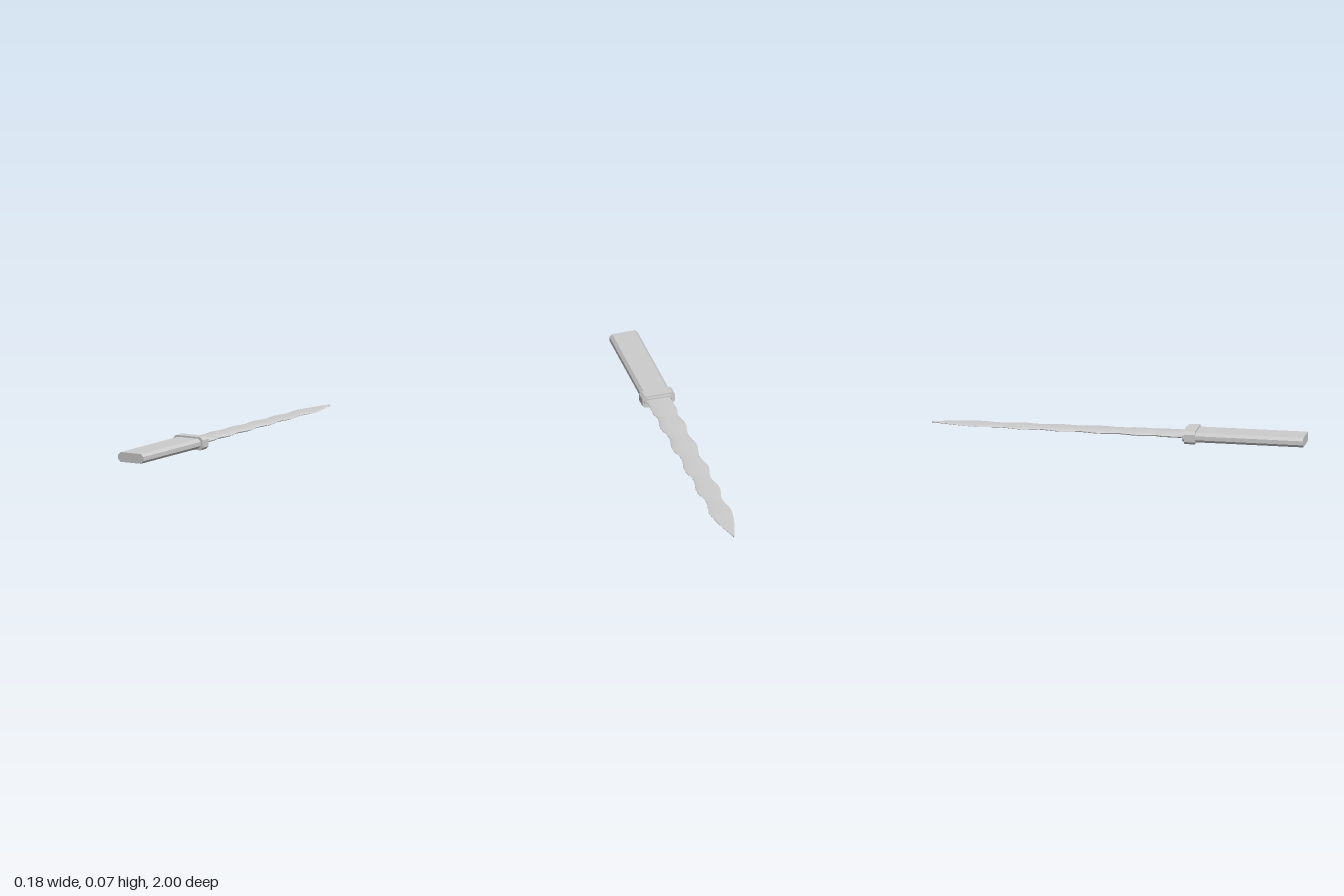
import * as THREE from 'three';

const MID = 0.035; // height of the long axis

// Rectangle with cut corners, half sizes w and h, cut c
function chamfered(PathType, w, h, c) {
  const p = new PathType();
  [[w - c, -h], [w, -h + c], [w, h - c], [w - c, h], [-w + c, h], [-w, h - c], [-w, -h + c], [-w + c, -h]]
    .forEach(([x, y], i) => (i ? p.lineTo(x, y) : p.moveTo(x, y)));
  p.closePath();
  return p;
}

function prism(name, shape, z0, z1, material) {
  const mesh = new THREE.Mesh(
    new THREE.ExtrudeGeometry(shape, { depth: z1 - z0, bevelEnabled: false }), material);
  mesh.name = name;
  mesh.position.set(0, MID, z0);
  return mesh;
}

// Wavy blade: one smooth skin per side, swept along z
function bladeGeometry() {
  const outline = [[0.37, 0.066], [0.3, 0.066], [0.24, 0.066], [0.2, 0.055]];
  // regular waves
  for (let i = 0; i < 4; i++) {
    const z = 0.11 - i * 0.212;
    outline.push([z, 0.07 - i * 0.002], [z - 0.106, 0.053 - i * 0.003]);
  }
  // leaf-shaped point
  outline.push([-0.74, 0.06], [-0.8, 0.054], [-0.86, 0.042], [-0.92, 0.026], [-0.97, 0.011], [-1, 0.001]);
  const curve = new THREE.CatmullRomCurve3(outline.map(([z, w]) => new THREE.Vector3(w, 0, z)));
  const rings = curve.getPoints(110);
  const section = [[-1, 0.12], [-0.8, 0.72], [-0.4, 0.92], [0, 1], [0.4, 0.92], [0.8, 0.72], [1, 0.12]];
  const n = section.length;
  const pos = [], idx = [];
  const strip = (points, cols, flip) => {
    const base = pos.length / 3;
    points.forEach((ring) => ring.forEach((p) => pos.push(...p)));
    for (let r = 0; r < points.length - 1; r++) {
      for (let c = 0; c < cols - 1; c++) {
        const a = base + r * cols + c, b = a + 1, d = a + cols, e = d + 1;
        if (flip) idx.push(a, d, b, b, d, e);
        else idx.push(a, b, d, b, e, d);
      }
    }
  };
  const thickness = (z) => THREE.MathUtils.mapLinear(z, 0.37, -1, 0.0125, 0.004);
  // top and bottom faces
  for (const s of [1, -1]) {
    strip(rings.map((p) => section.map(([u, v]) => [u * p.x, MID + s * v * thickness(p.z), p.z])), n, s < 0);
  }
  // narrow cutting edges
  for (const s of [1, -1]) {
    strip(rings.map((p) => [1, -1].map((v) => [s * p.x, MID + v * 0.12 * thickness(p.z), p.z])), 2, s < 0);
  }
  // blunt end at the point
  const tip = rings[rings.length - 1];
  strip([1, -1].map((s) => section.map(([u, v]) => [u * tip.x, MID + s * v * thickness(tip.z), tip.z])), n, true);
  const g = new THREE.BufferGeometry();
  g.setAttribute('position', new THREE.Float32BufferAttribute(pos, 3));
  g.setIndex(idx);
  g.computeVertexNormals();
  return g;
}

export function createModel() {
  const group = new THREE.Group();
  group.name = 'wavyDagger';
  const steel = new THREE.MeshStandardMaterial({ color: 0xcccccc });
  steel.name = 'pale grey';

  group.add(prism('handle', chamfered(THREE.Shape, 0.078, 0.026, 0.015), 0.42, 1, steel));
  group.add(prism('guard', chamfered(THREE.Shape, 0.09, 0.035, 0.015), 0.365, 0.423, steel));

  // Hollow rim around the blade root
  const rim = chamfered(THREE.Shape, 0.078, 0.026, 0.015);
  rim.holes.push(chamfered(THREE.Path, 0.07, 0.018, 0.011));
  group.add(prism('collar', rim, 0.353, 0.366, steel));

  const blade = new THREE.Mesh(bladeGeometry(), steel);
  blade.name = 'blade';
  group.add(blade);
  return group;
}
